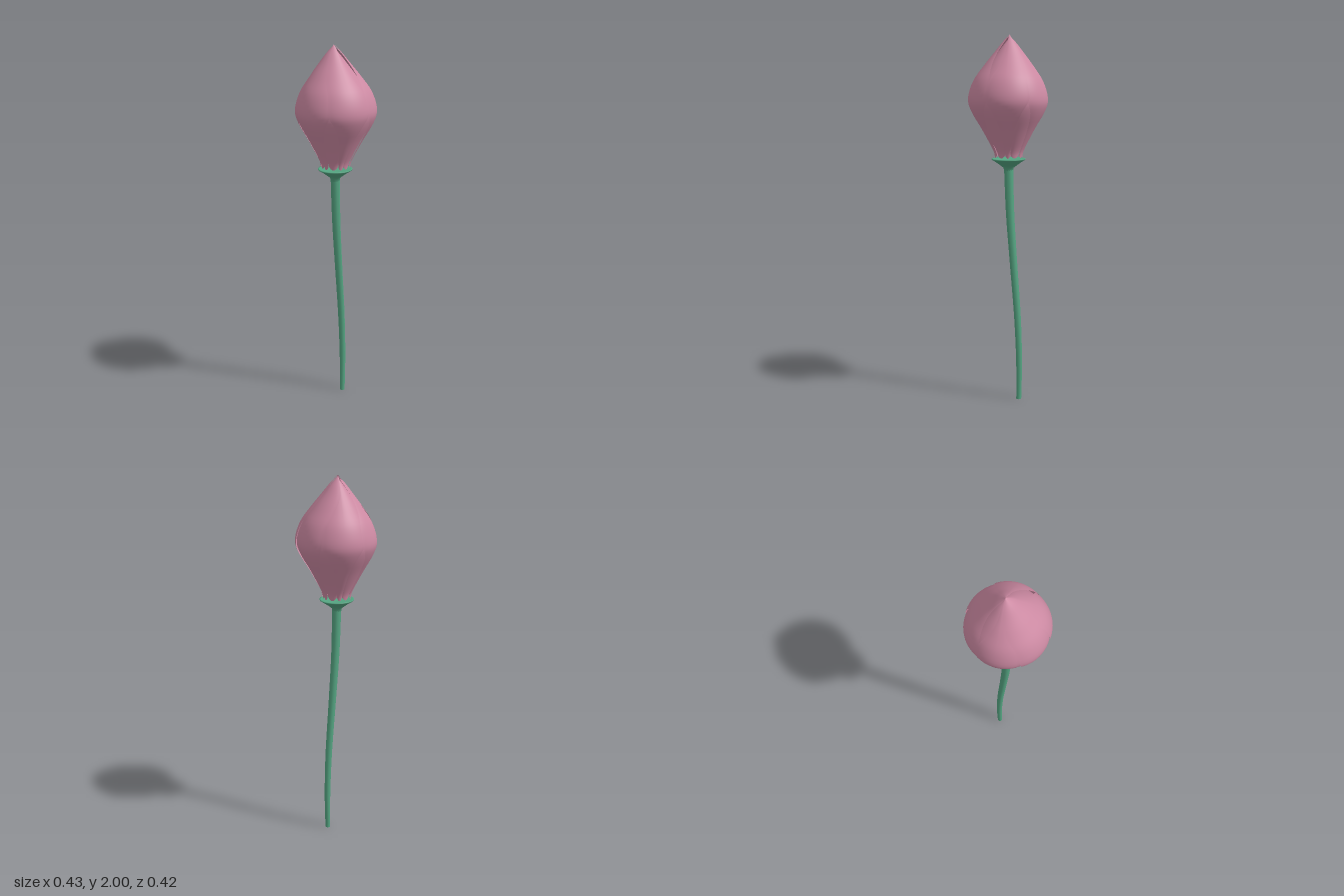
import * as THREE from 'three';

const pink = new THREE.MeshStandardMaterial({ color: 0xcd8aa3, side: THREE.DoubleSide });
pink.name = 'petal pink';
const green = new THREE.MeshStandardMaterial({ color: 0x55a582, side: THREE.DoubleSide });
green.name = 'stem green';

// Bud outline: heights, with the radius at each height
const HEIGHTS = [1.355, 1.4, 1.5, 1.6, 1.67, 1.76, 1.84, 1.91, 1.96, 2.0];
const RADII = [0.078, 0.09, 0.143, 0.2, 0.217, 0.19, 0.135, 0.08, 0.04, 0.002];

// Smooth lookup through a short list of values, t in 0..1
function smooth(values) {
  const curve = new THREE.SplineCurve(values.map((v, i) => new THREE.Vector2(i, v)));
  return (t) => curve.getPoint(t).y;
}
const heightAt = smooth(HEIGHTS);
const radiusAt = smooth(RADII);

// A petal is a patch of the bud outline around one angle (degrees, from +x towards +z).
// low and high give its reach to each side of that angle, from base to tip.
function petal(name, centre, scale, low, high) {
  const rows = 36, cols = 14, pos = [], index = [];
  const lowAt = smooth(low), highAt = smooth(high);
  for (let i = 0; i <= rows; i++) {
    const t = i / rows;
    const y = heightAt(t);
    const tipShift = -0.01 * THREE.MathUtils.smoothstep(y, 1.7, 2);
    for (let j = 0; j <= cols; j++) {
      const u = (j / cols) * 2 - 1;
      const reach = u < 0 ? lowAt(t) : highAt(t);
      const a = THREE.MathUtils.degToRad(centre + u * reach);
      // the edges tuck in slightly and the foot is rounded
      const r = radiusAt(t) * scale * (1 - 0.015 * u * u);
      const foot = 0.018 * u * u * Math.max(0, 1 - t * 8);
      pos.push(r * Math.cos(a), y + foot - (1 - scale) * 0.25 * t, r * Math.sin(a) + tipShift);
    }
  }
  for (let i = 0; i < rows; i++) {
    for (let j = 0; j < cols; j++) {
      const a = i * (cols + 1) + j, b = a + cols + 1;
      index.push(a, b, a + 1, a + 1, b, b + 1);
    }
  }
  const geo = new THREE.BufferGeometry();
  geo.setAttribute('position', new THREE.Float32BufferAttribute(pos, 3));
  geo.setIndex(index);
  geo.computeVertexNormals();
  const mesh = new THREE.Mesh(geo, pink);
  mesh.name = name;
  return mesh;
}

// Stem: a gently bent tube that widens upwards
function stem() {
  const path = new THREE.CatmullRomCurve3([
    [0.068, 0], [0.07, 0.2], [0.06, 0.45], [0.03, 0.8], [0.01, 1.05], [0, 1.31],
  ].map(([x, y]) => new THREE.Vector3(x, y, 0)));
  const rows = 40, sides = 12;
  const geo = new THREE.CylinderGeometry(1, 1, 1, sides, rows);
  const p = geo.attributes.position;
  for (let i = 0; i < p.count; i++) {
    const t = p.getY(i) + 0.5;
    const c = path.getPoint(t);
    const r = 0.014 + 0.011 * t;
    p.setXYZ(i, c.x + p.getX(i) * r, c.y, p.getZ(i) * r);
  }
  geo.computeVertexNormals();
  const mesh = new THREE.Mesh(geo, green);
  mesh.name = 'stem';
  return mesh;
}

// Flared dish under the petals
function receptacle() {
  const profile = [
    [0.024, 1.28], [0.027, 1.298], [0.045, 1.312], [0.07, 1.33], [0.091, 1.343],
    [0.092, 1.348], [0.085, 1.348], [0.05, 1.342], [0, 1.338],
  ].map(([x, y]) => new THREE.Vector2(x, y));
  const mesh = new THREE.Mesh(new THREE.LatheGeometry(profile, 32), green);
  mesh.name = 'receptacle';
  return mesh;
}

export function createModel() {
  const model = new THREE.Group();
  model.add(stem(), receptacle());

  const bud = new THREE.Group();
  bud.name = 'bud';
  model.add(bud);

  // Inner petals, seen through the slits
  const inner = [19, 21, 25, 31, 33, 33, 33, 33, 33, 33];
  for (let i = 0; i < 6; i++) {
    bud.add(petal('innerPetal', 30 + i * 60, i % 2 ? 0.94 : 0.925, inner, inner));
  }

  // Outer petals: the front pair lies over the sides, the sides over the back pair
  const slit = [10, 11, 14, 22, 31, 30, 20, 12, 14, 22];
  const wide = [10, 11, 14, 22, 32, 33, 41, 44, 44, 40];
  const sideFront = [10, 11, 14, 22, 30, 31, 32, 32, 30, 28];
  const sideBack = [10, 11, 14, 22, 27, 30, 44, 58, 60, 60];
  bud.add(
    petal('frontPetalLeft', 60, 1.01, wide, slit),
    petal('frontPetalRight', 120, 1.005, slit, wide),
    petal('sidePetalLeft', 0, 0.985, sideBack, sideFront),
    petal('sidePetalRight', 180, 0.985, sideFront, sideBack),
    petal('backPetalLeft', 300, 0.965, slit, wide),
    petal('backPetalRight', 240, 0.97, wide, slit),
  );
  return model;
}
